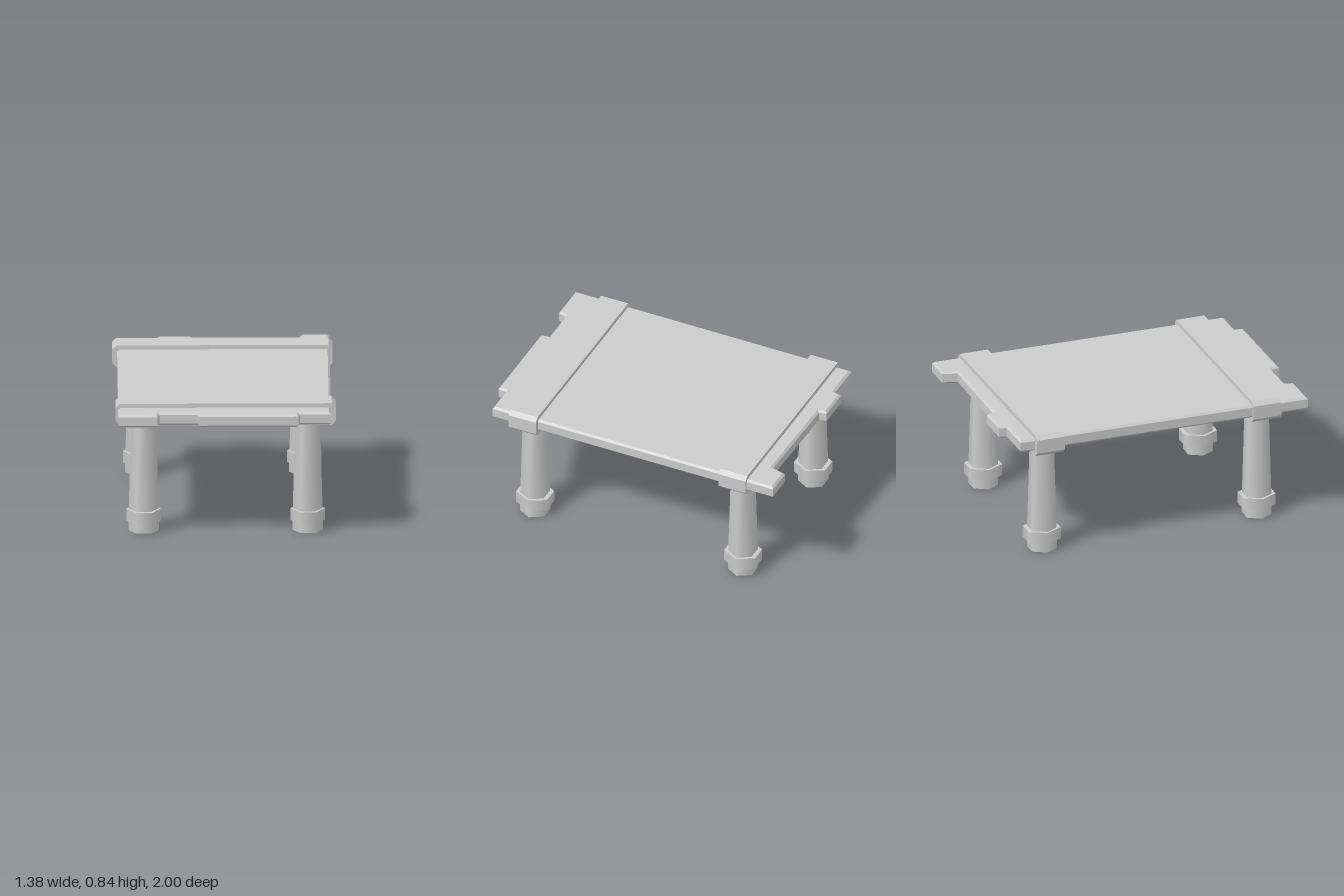
import * as THREE from 'three';

const material = new THREE.MeshStandardMaterial({ color: 0xcccccc });

function addMesh(parent, name, geometry, x = 0, y = 0, z = 0) {
  const mesh = new THREE.Mesh(geometry, material);
  mesh.name = name;
  mesh.position.set(x, y, z);
  parent.add(mesh);
  return mesh;
}

const shapeFrom = (points) => new THREE.Shape(points.map(([x, y]) => new THREE.Vector2(x, y)));

// Six-sided post with corners pointing along x
function hexPost(topRadius, bottomRadius, height) {
  return new THREE.CylinderGeometry(topRadius, bottomRadius, height, 6, 1, false, Math.PI / 2);
}

// Slab of planks with notched, uneven ends and a small bevel
function slabGeometry() {
  const bevel = 0.013, thickness = 0.082;
  const outline = shapeFrom([
    [-0.655, -0.915], [-0.41, -0.915], [-0.402, -0.963], [-0.188, -0.963],
    [-0.18, -0.915], [0.47, -0.905], [0.495, -1], [0.672, -1],
    [0.655, 0.945], [0.46, 0.945], [0.452, 1], [-0.17, 1],
    [-0.178, 0.945], [-0.415, 0.945], [-0.43, 1], [-0.675, 1],
  ]);
  const geometry = new THREE.ExtrudeGeometry(outline, {
    depth: thickness - 2 * bevel,
    bevelThickness: bevel, bevelSize: bevel, bevelOffset: -bevel, bevelSegments: 1,
  });
  geometry.translate(0, 0, bevel - thickness / 2);
  return geometry.rotateX(Math.PI / 2);
}

// Cross band with chamfered ends, wrapping the slab
function bandGeometry() {
  const w = 0.688, h = 0.07, c = 0.026, depth = 0.188;
  const section = shapeFrom([
    [-w + c, -h], [w - c, -h], [w, -h + c], [w, h - c],
    [w - c, h], [-w + c, h], [-w, h - c], [-w, -h + c],
  ]);
  return new THREE.ExtrudeGeometry(section, { depth, bevelEnabled: false }).translate(0, 0, -depth / 2);
}

// Tapered leg with a collar near the foot
function createLeg() {
  const leg = new THREE.Group();
  leg.name = 'leg';
  addMesh(leg, 'foot', hexPost(0.095, 0.095, 0.08), 0, 0.04, 0);
  addMesh(leg, 'shaft', hexPost(0.077, 0.095, 0.65), 0, 0.395, 0);
  const collar = addMesh(leg, 'collar', hexPost(0.108, 0.108, 0.075), 0, 0.102, 0);
  collar.scale.z = 1.14;
  return leg;
}

export function createModel() {
  const table = new THREE.Group();
  table.name = 'table';
  addMesh(table, 'tabletop', slabGeometry(), 0, 0.774, 0);
  for (const side of [-1, 1]) {
    addMesh(table, side > 0 ? 'frontBand' : 'backBand', bandGeometry(), 0, 0.771, side * 0.724);
    for (const x of [-0.512, 0.512]) {
      const leg = createLeg();
      leg.position.set(x, 0, side * 0.718);
      table.add(leg);
    }
  }
  return table;
}
